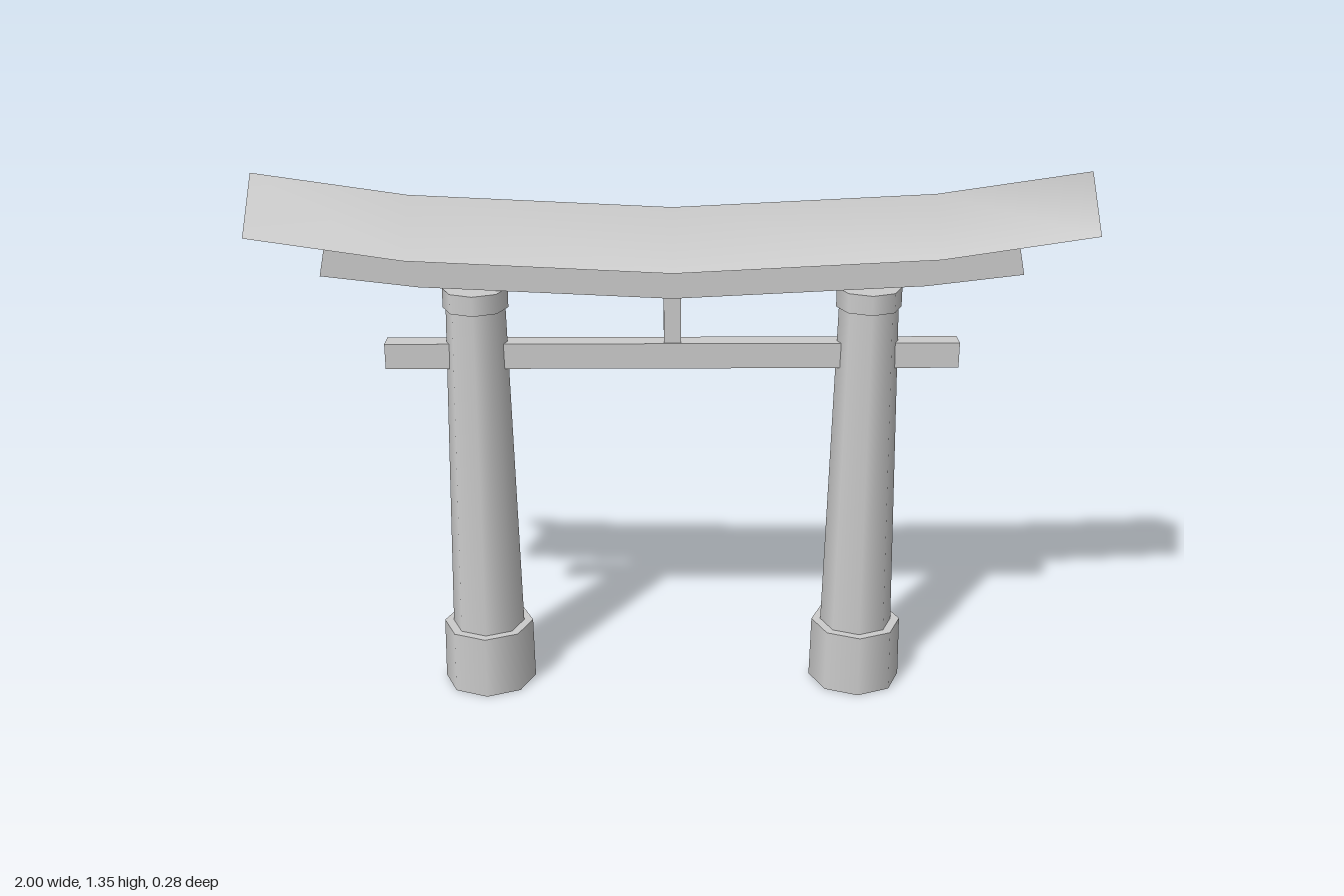
import * as THREE from 'three';

const material = new THREE.MeshStandardMaterial({ color: 0xcccccc });

function add(parent, name, geometry, x = 0, y = 0, z = 0) {
  const mesh = new THREE.Mesh(geometry, material);
  mesh.name = name;
  mesh.position.set(x, y, z);
  parent.add(mesh);
  return mesh;
}

// Gabled roof swept along x; each strip of the profile has its own vertices,
// so the ridge is smooth while the eaves and ends stay sharp.
function roofGeometry() {
  const stations = [[-1, 1.35, 0.132], [-0.63, 1.296, 0.136], [0, 1.265, 0.138], [0.63, 1.296, 0.136], [1, 1.35, 0.132]];
  const sections = stations.map(([x, ridge, w]) => {
    const eave = ridge - 0.125, inner = w - 0.033;
    return [[x, eave, w], [x, ridge, 0], [x, eave, -w], [x, eave, -inner], [x, ridge - 0.031, 0], [x, eave, inner]];
  });
  const positions = [], index = [];
  for (const strip of [[0, 1, 2], [2, 3], [3, 4], [4, 5], [5, 0]]) {
    const start = positions.length / 3, n = strip.length;
    for (const s of sections) for (const k of strip) positions.push(...s[k]);
    for (let i = 0; i < sections.length - 1; i++) {
      for (let j = 0; j < n - 1; j++) {
        const a = start + i * n + j, b = a + 1, c = b + n, d = a + n;
        index.push(a, d, b, b, d, c);
      }
    }
  }
  // End faces
  for (const [section, flip] of [[sections[0], false], [sections.at(-1), true]]) {
    for (const quad of [[0, 1, 4, 5], [1, 2, 3, 4]]) {
      const o = positions.length / 3;
      for (const k of flip ? [...quad].reverse() : quad) positions.push(...section[k]);
      index.push(o, o + 1, o + 2, o, o + 2, o + 3);
    }
  }
  const geometry = new THREE.BufferGeometry();
  geometry.setAttribute('position', new THREE.Float32BufferAttribute(positions, 3));
  geometry.setIndex(index);
  geometry.computeVertexNormals();
  return geometry;
}

// Curved lintel with a stepped, slanted end, mirrored about x = 0
function lintelGeometry() {
  const half = [[0, 1.05], [0.61, 1.08], [0.845, 1.108], [0.83, 1.18], [0.87, 1.185], [0.88, 1.21], [0.61, 1.172], [0, 1.145]];
  const left = half.slice(1, -1).reverse().map(([x, y]) => [-x, y]);
  const shape = new THREE.Shape([...half, ...left].map(([x, y]) => new THREE.Vector2(x, y)));
  return new THREE.ExtrudeGeometry(shape, { depth: 0.084, bevelEnabled: false }).translate(0, 0, -0.042);
}

function createPillar(name, x) {
  const pillar = new THREE.Group();
  pillar.name = name;
  pillar.position.x = x;
  // name, top radius, bottom radius, bottom y, top y
  const parts = [
    ['pillarBase', 0.115, 0.118, 0, 0.163],
    ['pillarShaft', 0.073, 0.092, 0.163, 1.02],
    ['pillarCollar', 0.08, 0.08, 1.017, 1.066],
  ];
  for (const [part, top, bottom, y0, y1] of parts) {
    add(pillar, part, new THREE.CylinderGeometry(top, bottom, y1 - y0, 8), 0, (y0 + y1) / 2, 0);
  }
  return pillar;
}

export function createModel() {
  const gate = new THREE.Group();
  gate.name = 'gate';
  gate.add(createPillar('leftPillar', 0.48), createPillar('rightPillar', -0.48));
  add(gate, 'tieBeam', new THREE.BoxGeometry(1.41, 0.064, 0.054), 0, 0.897, -0.006);
  add(gate, 'centreStrut', new THREE.BoxGeometry(0.042, 0.15, 0.04), 0, 0.995, -0.004);
  add(gate, 'lintel', lintelGeometry());
  add(gate, 'roof', roofGeometry());
  return gate;
}
